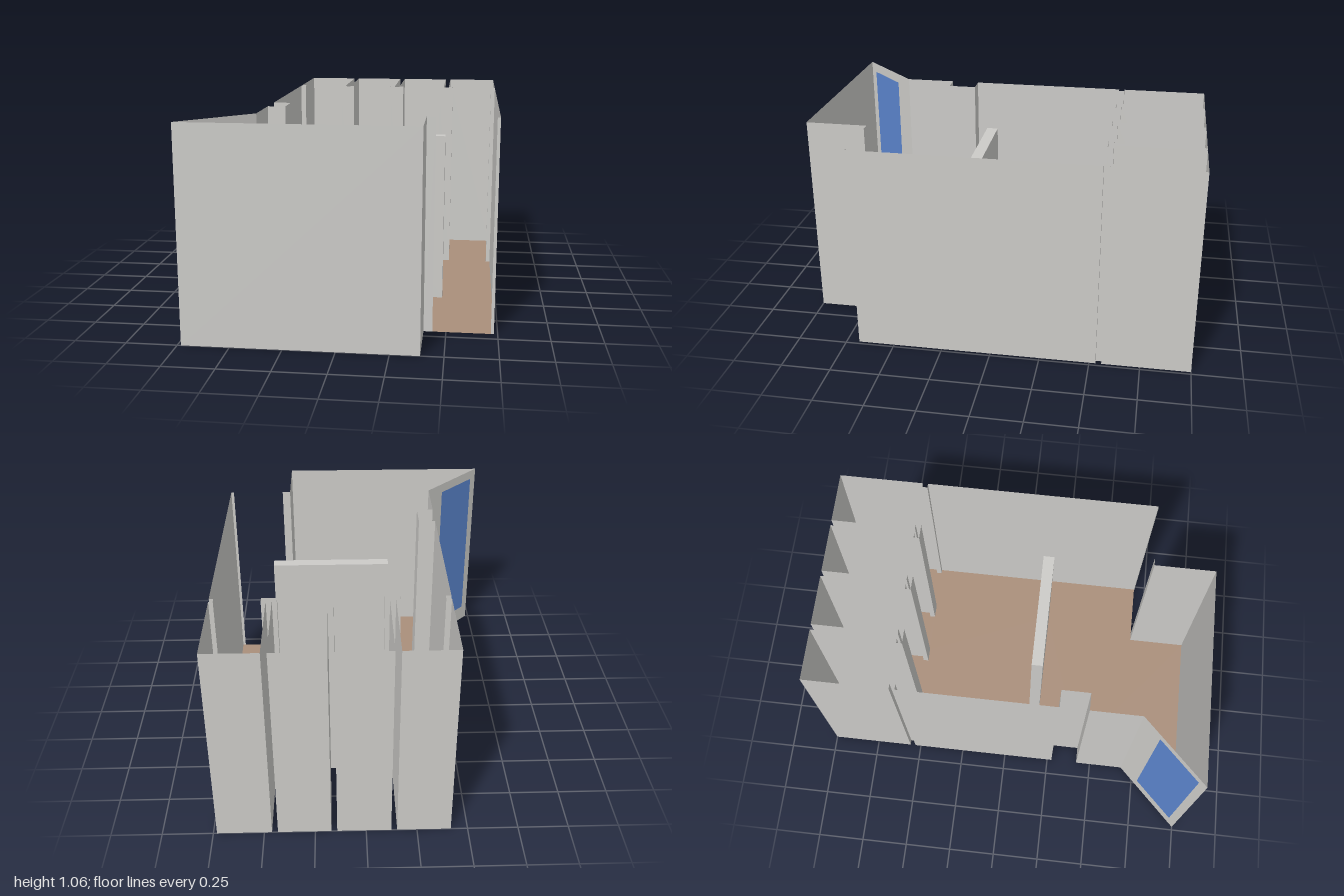
import * as THREE from 'three';

const HEIGHT = 1.058;
const PARTITION_HEIGHT = 0.882;

function material(name, color) {
  const m = new THREE.MeshStandardMaterial({ color, side: THREE.DoubleSide });
  m.name = name;
  return m;
}

function rectangle(u0, v0, u1, v1) {
  return [[u0, v0], [u1, v0], [u1, v1], [u0, v1]].map(([u, v]) => new THREE.Vector2(u, v));
}

// Flat sheet lying level, from plan points [x, z]
function levelSheet(points, y, holes = []) {
  const toPlan = (list) => list.map(([x, z]) => new THREE.Vector2(x, -z));
  const shape = new THREE.Shape(toPlan(points));
  for (const hole of holes) shape.holes.push(new THREE.Path(toPlan(hole)));
  return new THREE.ShapeGeometry(shape).rotateX(-Math.PI / 2).translate(0, y, 0);
}

// Stands a shape drawn in (distance along wall, height) on the line from a to b
function standing(shape, a, b) {
  return new THREE.ShapeGeometry(shape)
    .rotateY(Math.atan2(a[1] - b[1], b[0] - a[0]))
    .translate(a[0], 0, a[1]);
}

function wallPanel(a, b, height) {
  const length = Math.hypot(b[0] - a[0], b[1] - a[1]);
  return standing(new THREE.Shape(rectangle(0, 0, length, height)), a, b);
}

export function createModel() {
  const model = new THREE.Group();
  model.name = 'room';
  const wallMat = material('wall grey', 0xcccbc8);
  const floorMat = material('floor brown', 0xaa8f7b);
  const glassMat = material('window blue', 0x5b84cc);

  const add = (name, geometry, mat, parent = model) => {
    const mesh = new THREE.Mesh(geometry, mat);
    mesh.name = name;
    parent.add(mesh);
  };

  // Plan outline, from the right door jamb round the back to the left jamb
  const zNear = -0.532, zFar = -0.561;
  const outline = [
    [0.717, 0.685], [0.732, 0.685],
    [0.732, zNear], [0.71, zNear], [0.71, zFar], [0.732, zFar], [0.732, -1],
  ];
  // T-shaped slots dividing the back bays
  for (const x of [0.448, 0.157, -0.138]) {
    const stem = 0.0145, bar = 0.038;
    outline.push(
      [x + stem, -1], [x + stem, zFar], [x + bar, zFar], [x + bar, zNear],
      [x - bar, zNear], [x - bar, zFar], [x - stem, zFar], [x - stem, -1],
    );
  }
  outline.push(
    [-0.417, -1], [-0.417, zFar], [-0.39, zFar], [-0.39, zNear], [-0.417, zNear],
    [-0.417, 0.275], [-0.328, 0.275], [-0.328, 0.421], [-0.417, 0.421],
  );
  const bayStart = outline.length;
  outline.push([-0.417, 0.683], [-0.732, 1], [0.391, 1], [0.391, 0.685], [0.434, 0.685]);

  // Thin outer walls, leaving the doorway open and the slanted wall for later
  const walls = new THREE.Group();
  walls.name = 'outerWalls';
  model.add(walls);
  for (let i = 0; i < outline.length - 1; i++) {
    if (i !== bayStart) add('wall', wallPanel(outline[i], outline[i + 1], HEIGHT), wallMat, walls);
  }

  // Slanted wall with its window
  const a = outline[bayStart], b = outline[bayStart + 1];
  const length = Math.hypot(b[0] - a[0], b[1] - a[1]);
  const opening = rectangle(length * 0.286, 0.093, length * 0.9, 1.005);
  const slanted = new THREE.Shape(rectangle(0, 0, length, HEIGHT));
  slanted.holes.push(new THREE.Path(opening));
  add('slantedWall', standing(slanted, a, b), wallMat);
  add('window', standing(new THREE.Shape(opening), a, b), glassMat);

  // Low free-standing partition, hollow and open underneath
  const footprint = [[-0.153, 0.114], [0.466, 0.114], [0.466, 0.172], [-0.153, 0.172]];
  const partition = new THREE.Group();
  partition.name = 'partition';
  model.add(partition);
  footprint.forEach((p, i) => {
    add('partitionSide', wallPanel(p, footprint[(i + 1) % 4], PARTITION_HEIGHT), wallMat, partition);
  });
  add('partitionTop', levelSheet(footprint, PARTITION_HEIGHT), wallMat, partition);

  // Floor
  add('floor', levelSheet(outline, 0, [footprint]), floorMat);
  return model;
}
